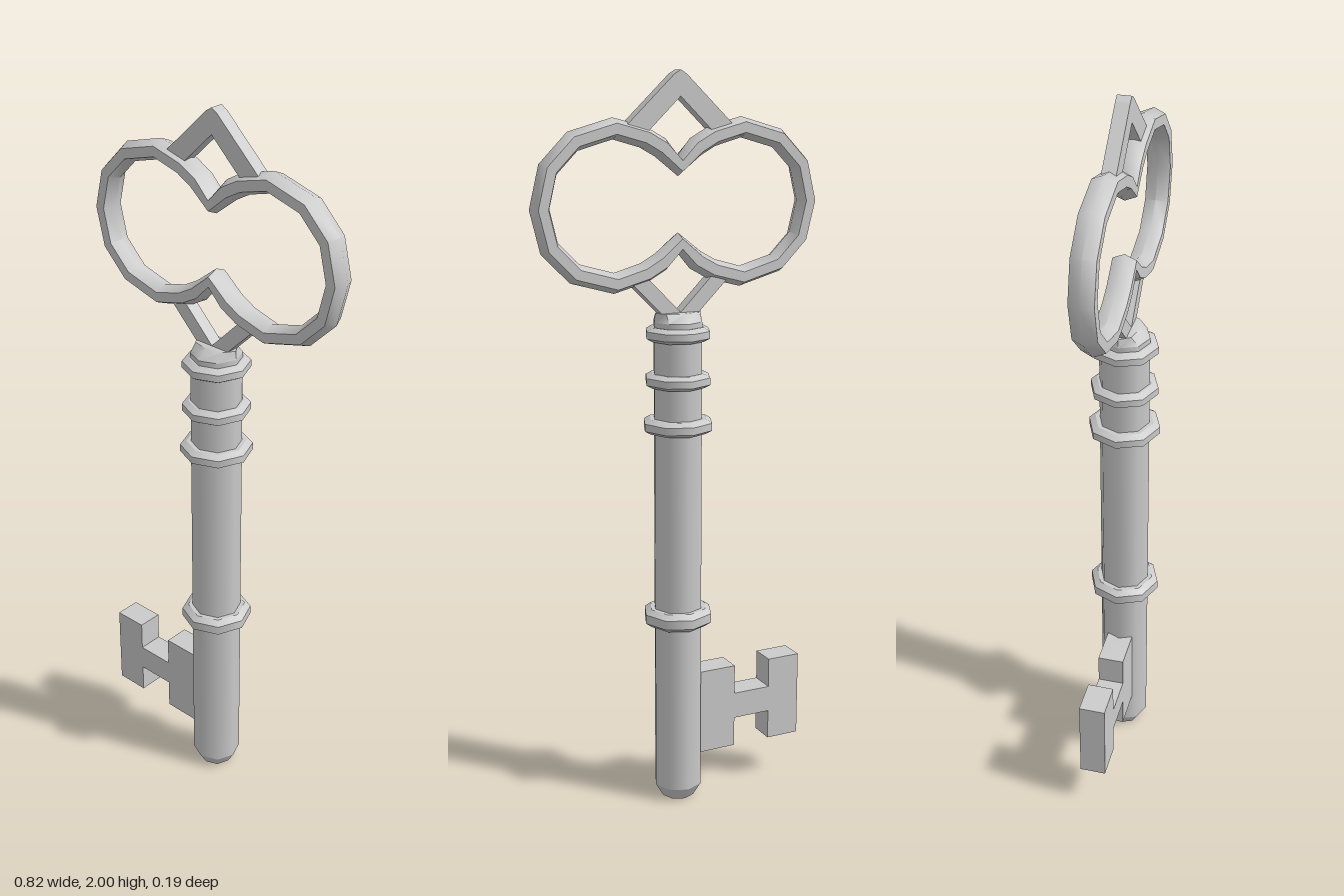
import * as THREE from 'three';
import { toCreasedNormals } from 'three/addons/utils/BufferGeometryUtils.js';

const grey = new THREE.MeshStandardMaterial({ color: 0xcccccc, side: THREE.DoubleSide });
const SIDES = 8;

function add(parent, name, geometry) {
  const mesh = new THREE.Mesh(geometry, grey);
  mesh.name = name;
  parent.add(mesh);
  return mesh;
}

// Stack of eight-sided frustums: smooth around, sharp between the rows [radius, y]
function turned(parent, name, rows) {
  const group = new THREE.Group();
  group.name = name;
  for (let i = 0; i < rows.length - 1; i++) {
    const [r0, y0] = rows[i], [r1, y1] = rows[i + 1];
    const g = new THREE.CylinderGeometry(r1, r0, y1 - y0, SIDES, 1, true);
    add(group, name + 'Section', g.translate(0, (y0 + y1) / 2, 0));
  }
  // flat ends
  [[rows[0], 1], [rows[rows.length - 1], -1]].forEach(([[r, y], s]) => {
    const cap = new THREE.CircleGeometry(r, SIDES).rotateX(s * Math.PI / 2);
    add(group, name + 'End', cap.translate(0, y, 0));
  });
  parent.add(group);
  return group;
}

// Closed band with a six-sided section swept along points in the xy plane
function sweptRing(points, radial, depth) {
  const n = points.length, K = 6, pos = [], index = [];
  points.forEach((p, i) => {
    const a = points[(i + n - 1) % n], b = points[(i + 1) % n];
    const ta = p.clone().sub(a).normalize(), tb = b.clone().sub(p).normalize();
    const t = ta.add(tb).normalize();
    for (let j = 0; j < K; j++) {
      const ang = j / K * Math.PI * 2, c = Math.cos(ang) * radial;
      pos.push(p.x + t.y * c, p.y - t.x * c, Math.sin(ang) * depth / Math.sin(Math.PI / 3));
      const i2 = (i + 1) % n, j2 = (j + 1) % K;
      index.push(i * K + j, i2 * K + j, i2 * K + j2, i * K + j, i2 * K + j2, i * K + j2);
    }
  });
  const g = new THREE.BufferGeometry();
  g.setAttribute('position', new THREE.Float32BufferAttribute(pos, 3));
  g.setIndex(index);
  return toCreasedNormals(g, 0.95);
}

// Flat plate cut from an outline, centred on z = 0
function plate(outline, thickness) {
  const shape = new THREE.Shape(outline.map(([x, y]) => new THREE.Vector2(x, y)));
  return new THREE.ExtrudeGeometry(shape, { depth: thickness, bevelEnabled: false })
    .translate(0, 0, -thickness / 2);
}

export function createModel() {
  const key = new THREE.Group();
  key.name = 'key';

  // Shaft with chamfered tip
  turned(key, 'shaft', [[0.046, 0], [0.068, 0.037], [0.068, 1.36]]);

  // Shaft top, narrowing from front to back
  const top = new THREE.CylinderGeometry(0.066, 0.068, 0.024, SIDES);
  const p = top.attributes.position;
  for (let i = 0; i < p.count; i++) if (p.getY(i) > 0) p.setZ(i, p.getZ(i) * 0.62);
  add(key, 'shaftTop', toCreasedNormals(top, 0.82).translate(0, 1.372, 0));

  // Collars: [y, radius, half height]
  [[0.54, 0.097, 0.025], [1.08, 0.097, 0.02], [1.203, 0.091, 0.019], [1.327, 0.09, 0.019]]
    .forEach(([y, r, h]) => turned(key, 'collar', [
      [r - 0.017, y - h], [r, y - h * 0.5], [r, y + h * 0.5], [r - 0.017, y + h],
    ]));

  // Bow: one quarter of the centre line, mirrored to the full double loop
  const midY = 1.663;
  const quarter = [[0.381, 0], [0.357, 0.097], [0.29, 0.164], [0.182, 0.194],
    [0.097, 0.171], [0.05, 0.145], [0, 0.099]];
  const half = [...quarter, ...quarter.slice(0, -1).reverse().map(([x, y]) => [-x, y])];
  const loop = [...half, ...half.slice(1, -1).reverse().map(([x, y]) => [x, -y])];
  add(key, 'bow', sweptRing(loop.map(([x, y]) => new THREE.Vector2(x, y + midY)), 0.027, 0.031));

  // Pointed braces above and below the bow
  const mirrored = (side, apexes) => [apexes[0], ...side, apexes[1],
    ...side.slice().reverse().map(([x, y]) => [-x, y])];
  add(key, 'upperBrace', plate(mirrored(
    [[0.017, 1.99], [0.15, 1.865], [0.095, 1.845]], [[0, 2.0], [0, 1.935]]).slice(0), 0.036));
  add(key, 'lowerBrace', plate(mirrored(
    [[0.14, 1.468], [0.09, 1.475]], [[0, 1.33], [0, 1.385]]), 0.036));

  // H-shaped bit
  add(key, 'bit', plate([
    [-0.02, 0.127], [-0.02, 0.37], [-0.162, 0.37], [-0.162, 0.286], [-0.272, 0.286],
    [-0.272, 0.37], [-0.368, 0.37], [-0.368, 0.127], [-0.272, 0.127], [-0.272, 0.211],
    [-0.162, 0.211], [-0.162, 0.127],
  ], 0.072));

  return key;
}
